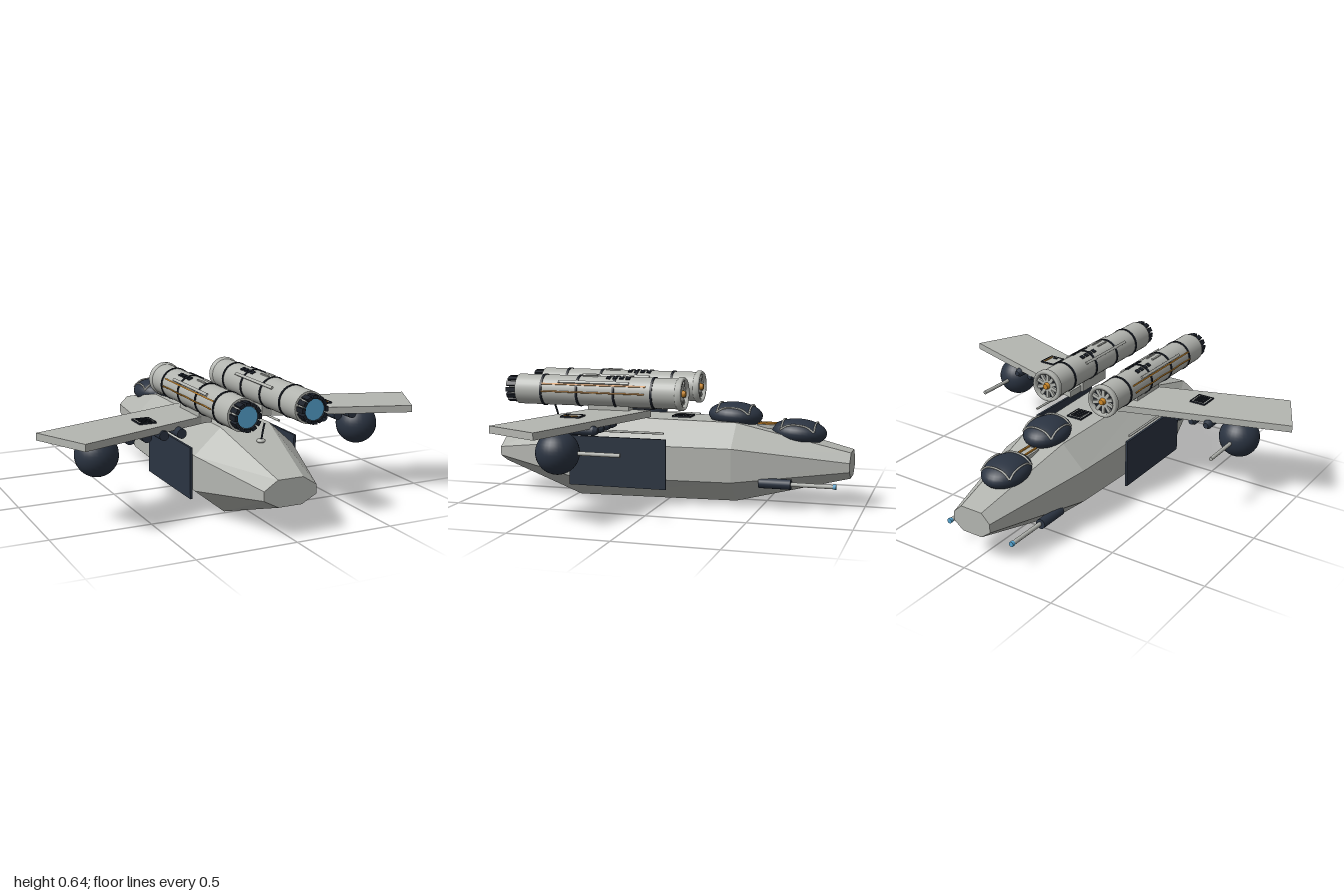
import * as THREE from 'three';

const mat = (name, color, extra = {}) => {
  const m = new THREE.MeshStandardMaterial({ color, ...extra });
  m.name = name;
  return m;
};

export function createModel() {
  const hullGrey = mat('hull grey', 0xb4b6b1, { flatShading: true });
  const grey = mat('metal grey', 0xb2b4af);
  const navy = mat('dark navy', 0x2b3442);
  const black = mat('trim black', 0x1b2029);
  const blue = mat('exhaust blue', 0x56a5d2);
  const orange = mat('orange', 0xcf8a2a);
  const root = new THREE.Group();
  root.name = 'gunship';

  const add = (parent, name, geo, m, x = 0, y = 0, z = 0) => {
    const mesh = new THREE.Mesh(geo, m);
    mesh.name = name;
    mesh.position.set(x, y, z);
    parent.add(mesh);
    return mesh;
  };
  const box = (p, name, m, w, h, d, x, y, z) => add(p, name, new THREE.BoxGeometry(w, h, d), m, x, y, z);
  // cylinder lying along z, from z0 to z1
  const rod = (p, name, m, r0, r1, z0, z1, x, y, seg = 16, open = false) =>
    add(p, name, new THREE.CylinderGeometry(r1, r0, z1 - z0, seg, 1, open).rotateX(Math.PI / 2), m, x, y, (z0 + z1) / 2);
  const tube = (p, name, m, pts, r) =>
    add(p, name, new THREE.TubeGeometry(new THREE.CatmullRomCurve3(pts.map(a => new THREE.Vector3(...a))), 16, r, 6), m);
  const group = (name, parent = root) => {
    const g = new THREE.Group();
    g.name = name;
    parent.add(g);
    return g;
  };

  // Hull: octagonal sections [z, bottom half-width, half-width, top half-width, y0, y1, y2, y3]
  const sections = [
    [0.93, 0.06, 0.135, 0.065, 0.15, 0.19, 0.235, 0.28],
    [0.48, 0.11, 0.267, 0.13, 0, 0.125, 0.3, 0.425],
    [-0.36, 0.1, 0.237, 0.115, 0.012, 0.13, 0.3, 0.415],
    [-0.93, 0.055, 0.107, 0.06, 0.15, 0.19, 0.235, 0.28],
  ].map(([z, b, w, t, y0, y1, y2, y3]) => [
    [b, y0, z], [w, y1, z], [w, y2, z], [t, y3, z], [-t, y3, z], [-w, y2, z], [-w, y1, z], [-b, y0, z]]);
  const pos = [];
  const tri = (...p) => p.forEach(v => pos.push(...v));
  for (let i = 0; i < 3; i++) for (let j = 0; j < 8; j++) {
    const k = (j + 1) % 8, A = sections[i], B = sections[i + 1];
    tri(A[j], B[j], B[k]);
    tri(A[j], B[k], A[k]);
  }
  for (let j = 1; j < 7; j++) {
    const A = sections[0], B = sections[3];
    tri(A[0], A[j], A[j + 1]);
    tri(B[0], B[j + 1], B[j]);
  }
  const hullGeo = new THREE.BufferGeometry();
  hullGeo.setAttribute('position', new THREE.Float32BufferAttribute(pos, 3));
  hullGeo.computeVertexNormals();
  add(root, 'hull', hullGeo, hullGrey);

  // Two canopies with metal frames
  for (const [name, y, z, tilt] of [['rearCanopy', 0.44, -0.33, 0.05], ['frontCanopy', 0.365, -0.66, 0.06]]) {
    const g = group(name);
    g.position.set(0, y, z);
    g.rotation.x = -tilt;
    const R = [0.11, 0.066, 0.14];
    add(g, 'canopyGlass', new THREE.SphereGeometry(1, 28, 18).scale(...R), navy);
    const onDome = (x, dz) => [x, R[1] * Math.sqrt(Math.max(0, 1 - (x / R[0]) ** 2 - (dz / R[2]) ** 2)) + 0.004, dz];
    const steps = [-1, -0.6, -0.2, 0.2, 0.6, 1];
    for (const dz of [-0.085, 0.08]) tube(g, 'canopyCrossFrame', grey, steps.map(t => onDome(t * 0.085, dz)), 0.005);
    for (const s of [-1, 1]) tube(g, 'canopySideFrame', grey, steps.map(t => onDome(s * 0.085, t * 0.085)), 0.005);
  }
  // Conduits between the canopies
  box(root, 'conduitBase', grey, 0.07, 0.02, 0.1, 0, 0.39, -0.5);
  for (const s of [-1, 1]) box(root, 'conduit', orange, 0.008, 0.008, 0.1, s * 0.02, 0.403, -0.5);

  // Service hatches: thin frame plus slats or marks
  const hatch = (name, x, y, z, kind) => {
    const g = group(name);
    g.position.set(x, y, z);
    box(g, 'hatchPlate', grey, 0.084, 0.005, 0.1, 0, 0.002, 0);
    for (const s of [-1, 1]) {
      box(g, 'hatchEdge', black, 0.005, 0.008, 0.1, s * 0.041, 0.003, 0);
      box(g, 'hatchEnd', black, 0.084, 0.008, 0.005, 0, 0.003, s * 0.048);
    }
    if (kind === 'vent') for (let i = -2; i <= 2; i++) box(g, 'slat', black, 0.06, 0.009, 0.008, 0, 0.004, i * 0.016);
    if (kind === 'bolts') for (const s of [-1, 1]) box(g, 'bolt', black, 0.012, 0.009, 0.012, s * 0.025, 0.004, 0.036);
    if (kind === 'marked') {
      box(g, 'orangeMark', orange, 0.007, 0.009, 0.07, 0.026, 0.004, 0);
      box(g, 'darkMark', black, 0.025, 0.009, 0.01, 0, 0.004, 0.028);
    }
  };
  hatch('frontHullHatch', 0, 0.421, -0.05, 'vent');
  hatch('rearHullHatch', 0, 0.425, 0.38, 'bolts');
  hatch('rightWingHatch', -0.48, 0.467, 0.375, 'vent');
  hatch('leftWingHatch', 0.48, 0.467, 0.375, 'marked');

  // Antenna
  add(root, 'antennaBase', new THREE.SphereGeometry(0.022, 14, 8).scale(1, 0.5, 1), grey, 0, 0.385, 0.645);
  tube(root, 'antennaMast', black, [[0, 0.38, 0.645], [0, 0.43, 0.66], [0, 0.48, 0.678]], 0.005);

  for (const s of [-1, 1]) {
    const side = s > 0 ? 'left' : 'right';

    // Swept wing
    const wing = group(side + 'Wing');
    const outline = new THREE.Shape([[0.15, 0.08], [1, 0.357], [0.862, 0.637], [0.15, 0.385]]
      .map(([x, z]) => new THREE.Vector2(s * x, z)));
    add(wing, 'wingPanel', new THREE.ExtrudeGeometry(outline, { depth: 0.035, bevelEnabled: false })
      .rotateX(Math.PI / 2), hullGrey, 0, 0.466, 0);

    // Ball turret under the wing
    add(wing, 'ballTurret', new THREE.SphereGeometry(0.105, 28, 20), navy, s * 0.715, 0.33, 0.36);
    rod(wing, 'turretBarrel', grey, 0.01, 0.01, 0.05, 0.28, s * 0.715, 0.33, 10);

    // Row of missiles
    for (const x of [0.34, 0.43, 0.515, 0.6]) {
      rod(wing, 'missile', navy, 0.024, 0.024, 0.22, 0.5, s * x, 0.421, 14);
      rod(wing, 'missileNose', navy, 0.014, 0.024, 0.2, 0.22, s * x, 0.421, 14);
    }

    // Armour plate and rail on the flank
    box(root, side + 'ArmourPlate', navy, 0.012, 0.255, 0.515, s * 0.282, 0.213, 0.218);
    for (const z of [0.05, 0.38]) box(root, 'plateBracket', black, 0.03, 0.05, 0.03, s * 0.267, 0.22, z);
    rod(root, side + 'Rail', grey, 0.006, 0.006, -0.03, 0.3, s * 0.29, 0.372, 8);

    // Nose gun
    const gun = group(side + 'NoseGun');
    rod(gun, 'gunPod', navy, 0.026, 0.026, -0.655, -0.495, s * 0.19, 0.13, 12);
    rod(gun, 'gunBarrel', grey, 0.011, 0.011, -0.865, -0.65, s * 0.187, 0.13, 10);
    rod(gun, 'gunTip', blue, 0.013, 0.013, -0.878, -0.862, s * 0.187, 0.13, 10);

    // Engine
    const e = group(side + 'Engine');
    e.position.set(s * 0.172, 0.558, 0);
    box(e, 'pylon', grey, 0.07, 0.07, 0.22, 0, -0.09, 0.29);
    rod(e, 'engineBody', grey, 0.078, 0.078, -0.075, 0.79, 0, 0, 28);
    for (const z of [0.05, 0.25, 0.45, 0.645]) rod(e, 'engineBand', black, 0.082, 0.082, z - 0.006, z + 0.006, 0, 0, 28);

    // Intake with fan
    const lip = [[0.066, -0.075], [0.066, -0.105], [0.08, -0.108], [0.085, -0.1], [0.085, -0.08], [0.076, -0.072]];
    add(e, 'intakeLip', new THREE.LatheGeometry(lip.map(([r, z]) => new THREE.Vector2(r, -z)), 28).rotateX(-Math.PI / 2),
      mat2(grey));
    rod(e, 'intakeBack', black, 0.067, 0.067, -0.082, -0.074, 0, 0, 28);
    for (let i = 0; i < 10; i++) {
      const blade = box(e, 'fanBlade', grey, 0.017, 0.068, 0.012, 0, 0, -0.088);
      const a = i * Math.PI / 5;
      blade.position.set(-Math.sin(a) * 0.034, Math.cos(a) * 0.034, -0.088);
      blade.rotation.z = a;
    }
    rod(e, 'fanHub', orange, 0.014, 0.021, -0.112, -0.085, 0, 0, 14);

    // Nozzle with petals and glowing disc
    rod(e, 'nozzleCore', grey, 0.06, 0.058, 0.785, 0.828, 0, 0, 24);
    rod(e, 'exhaustGlow', blue, 0.051, 0.051, 0.82, 0.834, 0, 0, 24);
    for (let i = 0; i < 12; i++) {
      const a = i * Math.PI / 6;
      const petal = box(e, 'nozzlePetal', black, 0.024, 0.016, 0.055, -Math.sin(a) * 0.06, Math.cos(a) * 0.06, 0.817);
      petal.rotation.z = a;
    }

    // Surface details placed by angle from the top, positive outwards
    const onSkin = (name, m, deg, w, h, z0, z1) => {
      const a = -s * deg * Math.PI / 180;
      const b = box(e, name, m, w, h, z1 - z0, -Math.sin(a) * 0.079, Math.cos(a) * 0.079, (z0 + z1) / 2);
      b.rotation.z = a;
    };
    for (const d of [-22, 22]) for (let i = 0; i < 4; i++)
      onSkin('vent', black, d, 0.022, 0.008, 0.172 + i * 0.035, 0.194 + i * 0.035);
    for (const d of [-52, 52]) onSkin('skinStrip', grey, d, 0.014, 0.014, 0.17, 0.55);
    for (const d of [-12, 12]) onSkin('topStrip', grey, d, 0.008, 0.01, 0.35, 0.43);
    onSkin('orangeLine', orange, 62, 0.007, 0.009, 0.08, 0.64);
    // Fuel line bowed around the bands
    const bow = [0.08, 0.15, 0.25, 0.35, 0.45, 0.55, 0.64];
    tube(e, 'fuelLine', orange, bow.map((z, i) => [s * (i % 2 ? 0.08 : 0.084), 0, z]), 0.004);
  }
  return root;

  // double-sided copy for the open lip, sharing one material
  function mat2(m) {
    m.side = THREE.DoubleSide;
    return m;
  }
}
